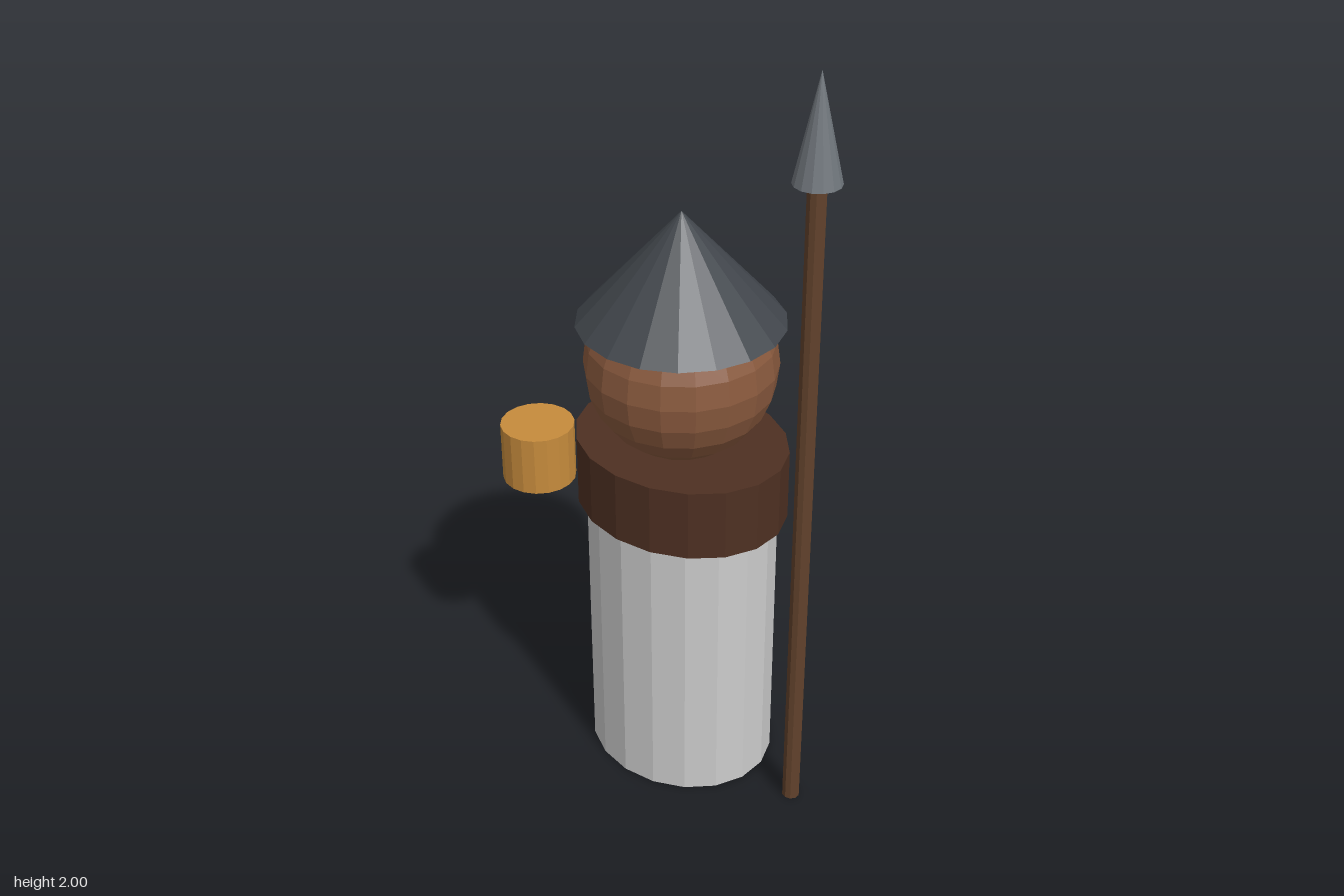
import * as THREE from 'three';

const SIDES = 18;

export function createModel() {
  const model = new THREE.Group();
  model.name = 'spearGuard';

  const add = (parent, name, geometry, color, x, y, z) => {
    const material = new THREE.MeshStandardMaterial({ color, flatShading: true });
    const mesh = new THREE.Mesh(geometry, material);
    mesh.name = name;
    mesh.position.set(x, y, z);
    parent.add(mesh);
    return mesh;
  };

  // Upright cylinder or cone spanning two heights
  const column = (parent, name, rTop, rBottom, y0, y1, color, x = 0, z = 0, sides = SIDES) =>
    add(parent, name, new THREE.CylinderGeometry(rTop, rBottom, y1 - y0, sides), color, x, (y0 + y1) / 2, z);

  // Oval body and the wider mantle around its top
  column(model, 'body', 1, 1, 0, 0.94, 0xcccccc).scale.set(0.258, 1, 0.225);
  column(model, 'mantle', 1, 1, 0.765, 0.952, 0x4e3022).scale.set(0.288, 1, 0.24);

  // Head and pointed hat
  add(model, 'head', new THREE.SphereGeometry(0.24, SIDES, 12), 0x8a5a3e, 0, 1.165, 0);
  column(model, 'hat', 0, 0.257, 1.28, 1.565, 0x41464c);

  // Mug held out at the right
  column(model, 'mug', 0.095, 0.095, 0.765, 0.922, 0xc68b3c, -0.351, 0.16);

  // Spear standing at the left
  const spear = new THREE.Group();
  spear.name = 'spear';
  spear.position.x = 0.388;
  model.add(spear);
  column(spear, 'shaft', 0.023, 0.023, 0, 1.75, 0x62422c, 0, 0, 10);
  column(spear, 'spearhead', 0, 0.056, 1.747, 2, 0x70767c, 0, 0, 14);

  return model;
}
